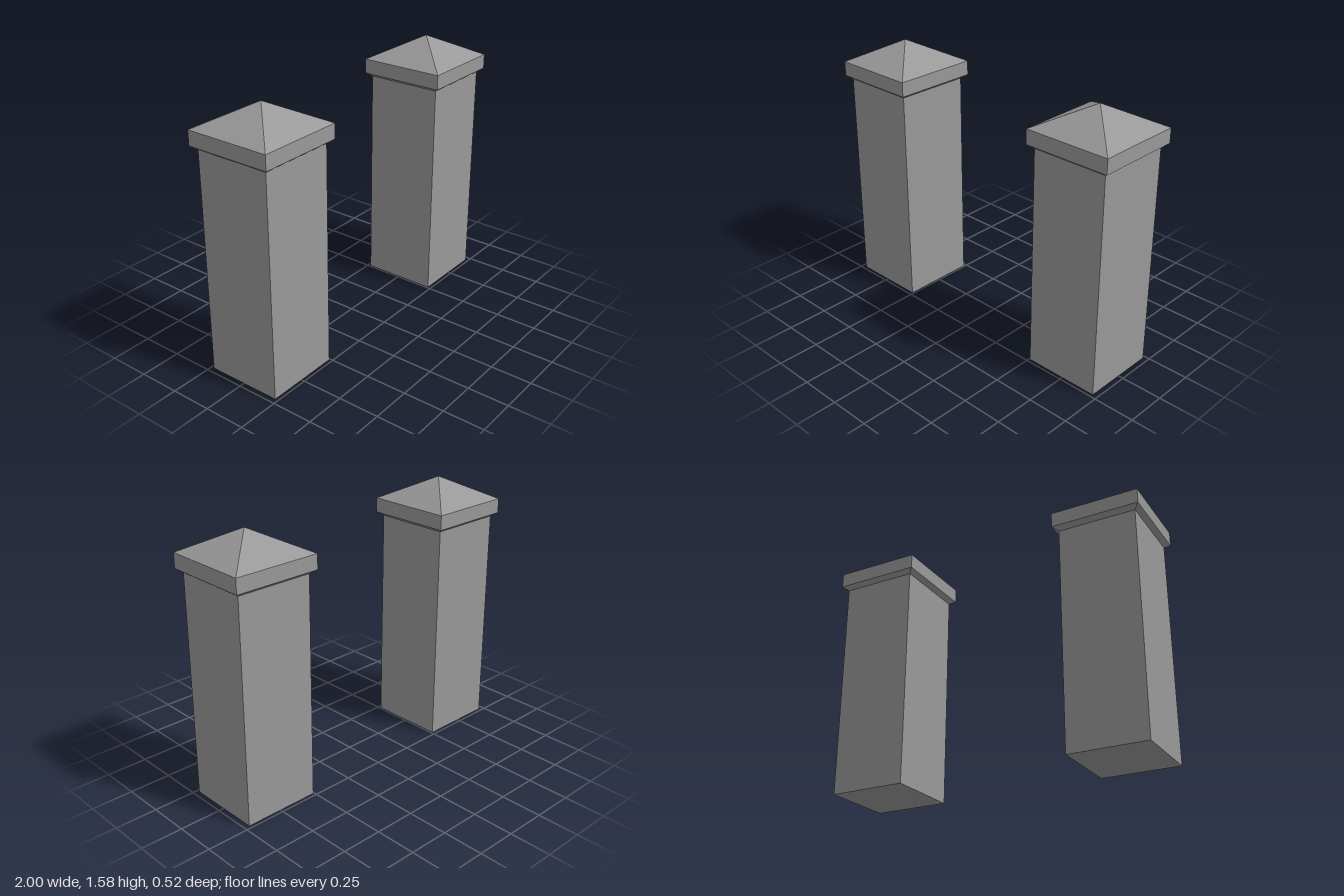
import * as THREE from 'three';

const material = new THREE.MeshStandardMaterial({ color: 0x999999, flatShading: true });

// Square frustum between two heights, given its half-widths at bottom and top
function squareFrustum(name, bottomHalf, topHalf, y0, y1, open = true) {
  const geometry = new THREE.CylinderGeometry(
    topHalf * Math.SQRT2, bottomHalf * Math.SQRT2, y1 - y0, 4, 1, open
  ).rotateY(Math.PI / 4).translate(0, (y0 + y1) / 2, 0).toNonIndexed();
  geometry.computeVertexNormals();
  const mesh = new THREE.Mesh(geometry, material);
  mesh.name = name;
  return mesh;
}

function createPillar(name, x) {
  const shaftHalf = 0.231, capHalf = 0.262;
  const pillar = new THREE.Group();
  pillar.name = name;
  pillar.position.x = x;
  pillar.add(
    squareFrustum('shaft', shaftHalf, shaftHalf, 0, 1.336, false),
    // Cap: sloped underside, upright band and pyramid roof
    squareFrustum('capUnderside', shaftHalf, capHalf, 1.336, 1.358),
    squareFrustum('capBand', capHalf, capHalf, 1.358, 1.446),
    squareFrustum('capRoof', capHalf, 0, 1.446, 1.584)
  );
  return pillar;
}

export function createModel() {
  const model = new THREE.Group();
  model.name = 'gatePillars';
  model.add(createPillar('leftPillar', 0.738), createPillar('rightPillar', -0.738));
  return model;
}
